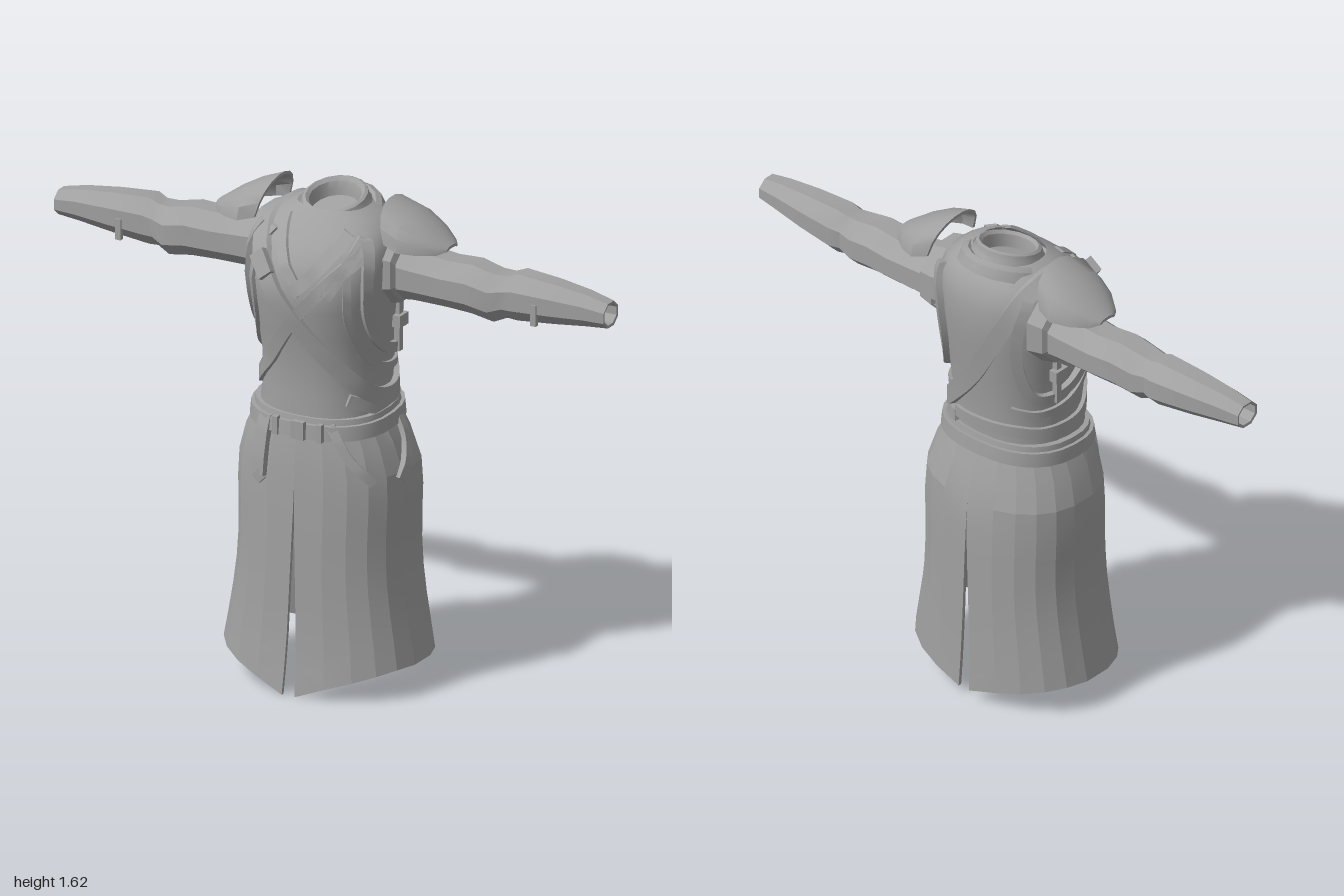
import * as THREE from 'three';
import { toCreasedNormals } from 'three/addons/utils/BufferGeometryUtils.js';

const cloth = new THREE.MeshStandardMaterial({ color: 0xa0a0a0, side: THREE.DoubleSide });
cloth.name = 'grey cloth';
const V = (x, y, z) => new THREE.Vector3(x, y, z);
const N = 2.4; // squareness of the body cross-sections

// Rows of [y, half width, front z, back z]
const TORSO = [
  [0.9, 0.215, 0.19, -0.18], [1.0, 0.2, 0.188, -0.18], [1.1, 0.203, 0.19, -0.188], [1.2, 0.212, 0.207, -0.2],
  [1.3, 0.224, 0.228, -0.214], [1.37, 0.232, 0.234, -0.221], [1.45, 0.236, 0.212, -0.222], [1.5, 0.23, 0.172, -0.212],
  [1.54, 0.207, 0.128, -0.192], [1.57, 0.165, 0.09, -0.165], [1.59, 0.12, 0.06, -0.135],
];
const SKIRT = [
  [0, 0.35, 0.258, -0.258], [0.1, 0.343, 0.246, -0.253], [0.2, 0.325, 0.237, -0.25], [0.35, 0.298, 0.232, -0.248],
  [0.5, 0.288, 0.228, -0.248], [0.68, 0.295, 0.221, -0.245], [0.78, 0.287, 0.215, -0.235], [0.87, 0.25, 0.205, -0.2],
  [0.93, 0.215, 0.193, -0.184],
];

// Interpolated cross-section at a height
function section(table, y) {
  let i = 0;
  while (i < table.length - 2 && y > table[i + 1][0]) i++;
  const a = table[i], b = table[i + 1];
  const t = THREE.MathUtils.clamp((y - a[0]) / (b[0] - a[0]), 0, 1);
  const [w, f, k] = [1, 2, 3].map((j) => a[j] + (b[j] - a[j]) * t);
  return { w, d: (f - k) / 2, c: (f + k) / 2 };
}
const power = (v, e) => Math.sign(v) * Math.abs(v) ** e;
const around = (table, angle, y, lift = 0) => {
  const { w, d, c } = section(table, y);
  return V((w + lift) * power(Math.sin(angle), 2 / N), y, c + (d + lift) * power(Math.cos(angle), 2 / N));
};
const rest = (v) => Math.max(0, 1 - Math.abs(v) ** N) ** (1 / N);
// Point on the front (s = 1) or back (s = -1), and on the left or right side
const face = (table, x, y, s = 1) => { const { w, d, c } = section(table, y); return V(x, y, c + s * d * rest(x / w)); };
const flank = (table, z, y, s = 1) => { const { w, d, c } = section(table, y); return V(s * w * rest((z - c) / d), y, z); };

// Skin of closed rings, optionally joined end to end or capped
function loft(name, rings, { closed = false, caps = false, crease = 0.55 } = {}) {
  const n = rings[0].length, index = [];
  const total = closed ? rings.length : rings.length - 1;
  for (let i = 0; i < total; i++) for (let j = 0; j < n; j++) {
    const k = (j + 1) % n, a = i * n, b = ((i + 1) % rings.length) * n;
    index.push(a + j, a + k, b + k, a + j, b + k, b + j);
  }
  if (caps) [0, (rings.length - 1) * n].forEach((o, end) => {
    for (let j = 0; j < Math.floor(n / 2) - 1; j++) {
      const q = [o + j, o + j + 1, o + n - 2 - j, o + n - 1 - j];
      if (!end) q.reverse();
      index.push(q[0], q[1], q[2], q[0], q[2], q[3]);
    }
  });
  const geo = new THREE.BufferGeometry().setFromPoints(rings.flat());
  geo.setIndex(index);
  const mesh = new THREE.Mesh(toCreasedNormals(geo, crease), cloth);
  mesh.name = name;
  return mesh;
}

// Flat strap that hugs the body along a path
function strap(name, table, points, width, lift = 0.013, closed = false) {
  const curve = new THREE.CatmullRomCurve3(points, closed, 'centripetal');
  const count = points.length * 5, rings = [];
  const press = (p, off) => {
    const { w, d, c } = section(table, p.y), z = p.z - c;
    const k = (Math.abs(p.x / w) ** N + Math.abs(z / d) ** N) ** (-1 / N);
    const out = V(p.x / w, 0, z / d).normalize();
    return V(p.x * k, p.y, c + z * k).addScaledVector(out, off);
  };
  for (let i = 0; i < count + (closed ? 0 : 1); i++) {
    const p = curve.getPoint(i / count), t = curve.getTangent(i / count);
    const { w, d, c } = section(table, p.y);
    const out = V(power(p.x / w, N - 1) / w, 0, power((p.z - c) / d, N - 1) / d).normalize();
    out.y = Math.max(0, (p.y - 1.47) * 12);
    const side = t.cross(out).normalize().multiplyScalar(width / 2);
    const a = p.clone().add(side), b = p.clone().sub(side);
    rings.push([press(a, -0.006), press(a, lift), press(b, lift), press(b, -0.006)]);
  }
  return loft(name, rings, { closed, caps: !closed });
}

function box(name, size, at, rot = [0, 0, 0]) {
  const mesh = new THREE.Mesh(new THREE.BoxGeometry(...size), cloth);
  mesh.name = name;
  mesh.position.copy(at);
  mesh.rotation.set(...rot);
  return mesh;
}
const ring = (n, fn) => Array.from({ length: n }, (_, i) => fn((i / n) * Math.PI * 2));

// Half of the skirt, from front slit to back slit, with thickness
function skirtHalf() {
  const columns = 11, rows = 9, rings = [];
  for (let i = 0; i <= columns; i++) {
    const angle = (i / columns) * Math.PI, front = i < columns / 2;
    const x = Math.abs(around(SKIRT, angle, 0.1).x);
    const hem = 0.11 - (front ? 0.1 : 0.07) * Math.max(0, 1 - x / 0.31);
    const side = (lift) => Array.from({ length: rows + 1 }, (_, r) => {
      const y = 0.93 + (hem - 0.93) * (r / rows), p = around(SKIRT, angle, y, lift);
      p.x = Math.max(p.x, Math.max(0, 0.67 - y) * 0.035);
      return p;
    });
    rings.push([...side(0), ...side(-0.012).reverse()]);
  }
  return loft('skirtPanel', rings, { caps: true, crease: 0.2 });
}

// Sleeve, shoulder plate and armhole, built on the left
function armSide() {
  const g = new THREE.Group();
  // [x, centre y, centre z, half height, half depth]
  const oval = ([x, y, z, h, d]) => ring(8, (a) => V(x, y + Math.sin(a + Math.PI / 8) * h * 1.08, z + Math.cos(a + Math.PI / 8) * d * 1.08));
  g.add(loft('sleeve', [
    [0.18, 1.4, -0.06, 0.1, 0.1], [0.3, 1.395, -0.06, 0.083, 0.095], [0.42, 1.388, -0.06, 0.078, 0.088],
    [0.51, 1.39, -0.055, 0.082, 0.088], [0.59, 1.376, -0.05, 0.08, 0.082], [0.635, 1.385, -0.055, 0.07, 0.07],
    [0.67, 1.39, -0.06, 0.078, 0.078], [0.8, 1.393, -0.055, 0.067, 0.07], [0.92, 1.394, -0.05, 0.053, 0.056],
    [1, 1.39, -0.045, 0.041, 0.046], [0.998, 1.39, -0.045, 0.033, 0.038], [0.95, 1.39, -0.045, 0.033, 0.038],
  ].map(oval), { caps: true, crease: 0.5 }));
  g.add(loft('sleeveBand', [[0.2, 1.41, -0.06, 0.125, 0.125], [0.255, 1.41, -0.06, 0.112, 0.115],
    [0.265, 1.405, -0.06, 0.09, 0.1], [0.2, 1.405, -0.06, 0.09, 0.1]].map(oval), { crease: 0.4 }));
  g.add(box('forearmClasp', [0.02, 0.07, 0.015], V(0.755, 1.36, 0.015)));

  // Curved shoulder plate: [x, top, base, half depth, lean of the inner edge]
  g.add(loft('shoulderPlate', [[0.2, 1.635, 1.515, 0.115, 0.035], [0.28, 1.602, 1.5, 0.13, 0.01], [0.35, 1.562, 1.495, 0.105, 0],
    [0.4, 1.526, 1.492, 0.065, 0], [0.42, 1.512, 1.498, 0.035, 0]].map(([x, top, base, h, lean]) => {
    const arch = (inset) => Array.from({ length: 10 }, (_, i) => {
      const a = (i / 9) * Math.PI, s = Math.sin(a) ** 0.8;
      return V(x + lean * (1 - s), base + (top - inset - base) * s, -0.05 + (h - inset) * Math.cos(a));
    });
    return [...arch(0), ...arch(0.01).reverse()];
  }), { caps: true }));

  // Two nested trims around the armhole
  const trim = (name, pts, w, lift) => g.add(strap(name, TORSO, pts.map(([z, y]) => flank(TORSO, z, y)), w, lift));
  trim('armholeTrim', [[0.08, 1.53], [0.125, 1.42], [0.12, 1.3], [0.07, 1.2], [-0.01, 1.14], [-0.12, 1.14], [-0.165, 1.25], [-0.18, 1.4], [-0.15, 1.52]], 0.035, 0.02);
  trim('vestTrim', [[0.12, 1.53], [0.175, 1.42], [0.17, 1.28], [0.12, 1.17], [0.03, 1.09], [-0.1, 1.07], [-0.165, 1.09]], 0.025, 0.011);

  // Side buckle under the arm
  g.add(box('sideStrap', [0.02, 0.17, 0.022], V(0.218, 1.2, -0.06)));
  g.add(box('sideBuckle', [0.03, 0.04, 0.055], V(0.225, 1.22, -0.06)));
  return g;
}

export function createModel() {
  const model = new THREE.Group();
  model.name = 'tunicOutfit';

  model.add(loft('torso', TORSO.map(([y]) => ring(28, (a) => around(TORSO, a, y))), { crease: 0.7 }));

  // Mirrored sides
  for (const s of [1, -1]) {
    const side = armSide();
    side.add(skirtHalf());
    side.name = s > 0 ? 'leftSide' : 'rightSide';
    side.scale.x = s;
    model.add(side);
  }

  // Collar and the cowl fold below it, lower in front
  const neck = (rows) => rows.map(([y, r]) => ring(16, (a) => V(Math.sin(a) * r, y - Math.cos(a) * r * 0.25, -0.04 + Math.cos(a) * r)));
  model.add(loft('collar', neck([[1.555, 0.13], [1.585, 0.11], [1.605, 0.105], [1.61, 0.095], [1.6, 0.084], [1.57, 0.078], [1.5, 0.075]]), { caps: true }));
  model.add(loft('cowlFold', neck([[1.53, 0.165], [1.565, 0.15], [1.577, 0.13], [1.56, 0.105]])));

  // Belt with its raised edge
  const band = (name, rows) => model.add(loft(name, rows.map(([y, lift]) => ring(28, (a) => {
    const p = around(SKIRT, a, 0.91, lift);
    p.y = y - p.z * 0.07;
    return p;
  })), { closed: true, crease: 0.4 }));
  band('belt', [[0.885, -0.01], [0.885, 0.018], [0.932, 0.014], [0.932, -0.01]]);
  band('beltEdge', [[0.925, -0.02], [0.925, 0.004], [0.95, 0], [0.95, -0.02]]);
  model.add(box('beltBuckle', [0.045, 0.06, 0.02], V(0.015, 0.898, 0.217)));
  for (const x of [-0.07, 0.09]) model.add(box('beltLoop', [0.018, 0.06, 0.02], V(x, 0.898, 0.212)));

  // Hanging belt ends
  const S = SKIRT;
  model.add(strap('beltTail', S, [face(S, -0.115, 0.92), face(S, -0.125, 0.82), face(S, -0.13, 0.72)], 0.05, 0.016));
  model.add(box('beltTailTip', [0.036, 0.036, 0.014], face(S, -0.13, 0.715).add(V(0, 0, 0.008)), [0, -0.1, Math.PI / 4]));
  model.add(strap('frontHangingStrap', S, [face(S, 0.11, 0.92), face(S, 0.17, 0.82), face(S, 0.24, 0.735)], 0.03, 0.014));
  model.add(strap('sideHangingStrap', S, [flank(S, -0.04, 0.92), flank(S, -0.02, 0.83), flank(S, 0.05, 0.73)], 0.03, 0.014));

  // Shoulder strap from right shoulder to left hip and up the back
  const T = TORSO;
  model.add(strap('crossStrap', T, [
    face(T, -0.175, 1.53), face(T, -0.12, 1.44), face(T, 0, 1.27), face(T, 0.11, 1.13), face(T, 0.175, 1.04),
    flank(T, 0.03, 0.99), flank(T, -0.08, 0.985), face(T, 0.14, 1.03, -1), face(T, 0, 1.2, -1),
    face(T, -0.11, 1.4, -1), face(T, -0.165, 1.53, -1), V(-0.18, 1.56, -0.04),
  ], 0.055, 0.018, true));
  model.add(box('strapBuckle', [0.055, 0.085, 0.022], face(T, -0.115, 1.435).add(V(0, 0, 0.022)), [-0.35, -0.2, 0.65]));

  // Wrapped cloth folds across chest and waist
  model.add(strap('wrapEdge', T, [face(T, 0.19, 1.5), face(T, 0.1, 1.39), face(T, -0.02, 1.24), face(T, -0.12, 1.09), flank(T, 0.08, 1, -1),
    flank(T, -0.08, 0.995, -1), face(T, -0.12, 1.01, -1), face(T, 0.1, 1.0, -1)], 0.04, 0.012));
  model.add(strap('chestFold', T, [face(T, 0.13, 1.545), face(T, 0.08, 1.45), face(T, 0.0, 1.36)], 0.04, 0.012));
  model.add(strap('outerChestFold', T, [face(T, 0.175, 1.53), face(T, 0.15, 1.44), face(T, 0.11, 1.36)], 0.035, 0.012));
  model.add(strap('neckFold', T, [face(T, -0.1, 1.565), face(T, -0.05, 1.47), face(T, 0.02, 1.38)], 0.03, 0.01));
  model.add(strap('hipWrap', T, [face(T, 0.15, 1.0), flank(T, 0.05, 0.96), flank(T, -0.1, 0.97), face(T, 0.1, 0.98, -1)], 0.04, 0.014));
  return model;
}
